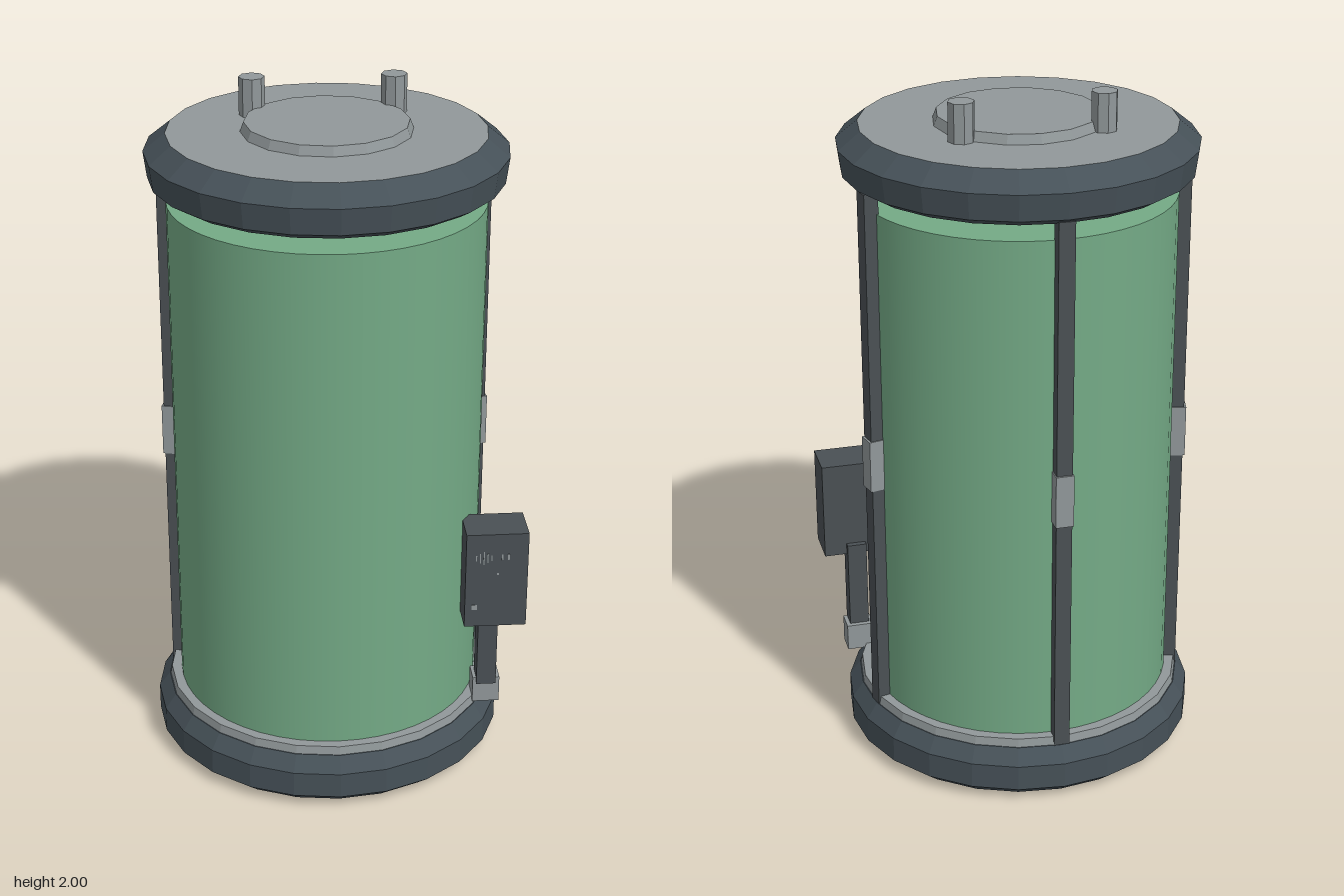
import * as THREE from 'three';

const colour = (name, hex) => {
  const m = new THREE.MeshStandardMaterial({ color: hex });
  m.name = name;
  return m;
};

export function createModel() {
  const darkMetal = colour('dark blue metal', 0x465158);
  const rodMetal = colour('dark grey metal', 0x4a5054);
  const lightMetal = colour('light grey metal', 0x91989a);
  const green = colour('green glass', 0x74aa86);

  const model = new THREE.Group();
  model.name = 'tank';
  const tank = new THREE.Group();
  tank.name = 'tankBody';
  tank.position.x = -0.017;
  model.add(tank);

  const add = (parent, name, geometry, material, x = 0, y = 0, z = 0) => {
    const mesh = new THREE.Mesh(geometry, material);
    mesh.name = name;
    mesh.position.set(x, y, z);
    parent.add(mesh);
    return mesh;
  };

  // Faceted solid of revolution from [radius, height] pairs, bottom to top
  const turned = (profile, sides) => {
    const points = profile.map(([r, y]) => new THREE.Vector2(r, y));
    const g = new THREE.LatheGeometry(points, sides).toNonIndexed();
    g.computeVertexNormals();
    return g;
  };

  // Base with its light collar
  add(tank, 'base', turned([[0, 0], [0.475, 0], [0.52, 0.038], [0.52, 0.115], [0.487, 0.16], [0, 0.16]], 24), darkMetal);
  add(tank, 'baseCollar', turned([[0.485, 0.158], [0.48, 0.185], [0, 0.185]], 24), lightMetal);

  // Smooth green cylinder, closed at the top below the lid
  add(tank, 'greenCylinder', new THREE.CylinderGeometry(0.45, 0.45, 1.515, 48), green, 0, 0.9375, 0);

  // Lid, its light top face and the raised disc
  add(tank, 'lid', turned([[0, 1.745], [0.465, 1.745], [0.498, 1.765], [0.508, 1.84], [0.446, 1.89]], 24), darkMetal);
  add(tank, 'lidTop', turned([[0.446, 1.89], [0, 1.89]], 24), lightMetal);
  add(tank, 'raisedDisc', turned([[0.24, 1.89], [0.23, 1.917], [0, 1.917]], 16), lightMetal);

  // Two pegs on the lid
  for (const side of [-1, 1]) {
    add(tank, 'peg', turned([[0.037, 1.885], [0.037, 2], [0, 2]], 8), lightMetal, side * 0.2, 0, -0.152);
  }

  // Three upright rods with clamps: back, left and right
  for (const angle of [Math.PI, Math.PI - 1.335, Math.PI + 1.335]) {
    const upright = new THREE.Group();
    upright.name = 'upright';
    upright.rotation.y = angle;
    add(upright, 'rod', new THREE.BoxGeometry(0.046, 1.61, 0.042), rodMetal, 0, 0.95, 0.464);
    add(upright, 'clamp', new THREE.BoxGeometry(0.052, 0.155, 0.048), lightMetal, 0, 0.947, 0.467);
    tank.add(upright);
  }

  // Control box on its arm and foot
  const control = new THREE.Group();
  control.name = 'controlUnit';
  model.add(control);
  add(control, 'controlBox', new THREE.BoxGeometry(0.18, 0.3, 0.128), rodMetal, 0.445, 0.64, 0.279);
  add(control, 'controlArm', new THREE.BoxGeometry(0.058, 0.29, 0.058), rodMetal, 0.439, 0.38, 0.226);
  add(control, 'controlFoot', new THREE.BoxGeometry(0.08, 0.082, 0.068), lightMetal, 0.44, 0.213, 0.216);

  // Small gauge marks on the front of the box
  const mark = (x, y, w, h) =>
    add(control, 'gaugeMark', new THREE.BoxGeometry(w, h, 0.002), lightMetal, x, y, 0.343);
  [0.018, 0.03, 0.042, 0.03, 0.018].forEach((h, i) => mark(0.385 + i * 0.011, 0.714, 0.003, h));
  [0.46, 0.478].forEach((x) => mark(x, 0.716, 0.005, 0.018));
  mark(0.448, 0.662, 0.005, 0.006);
  mark(0.383, 0.553, 0.016, 0.016);

  return model;
}
